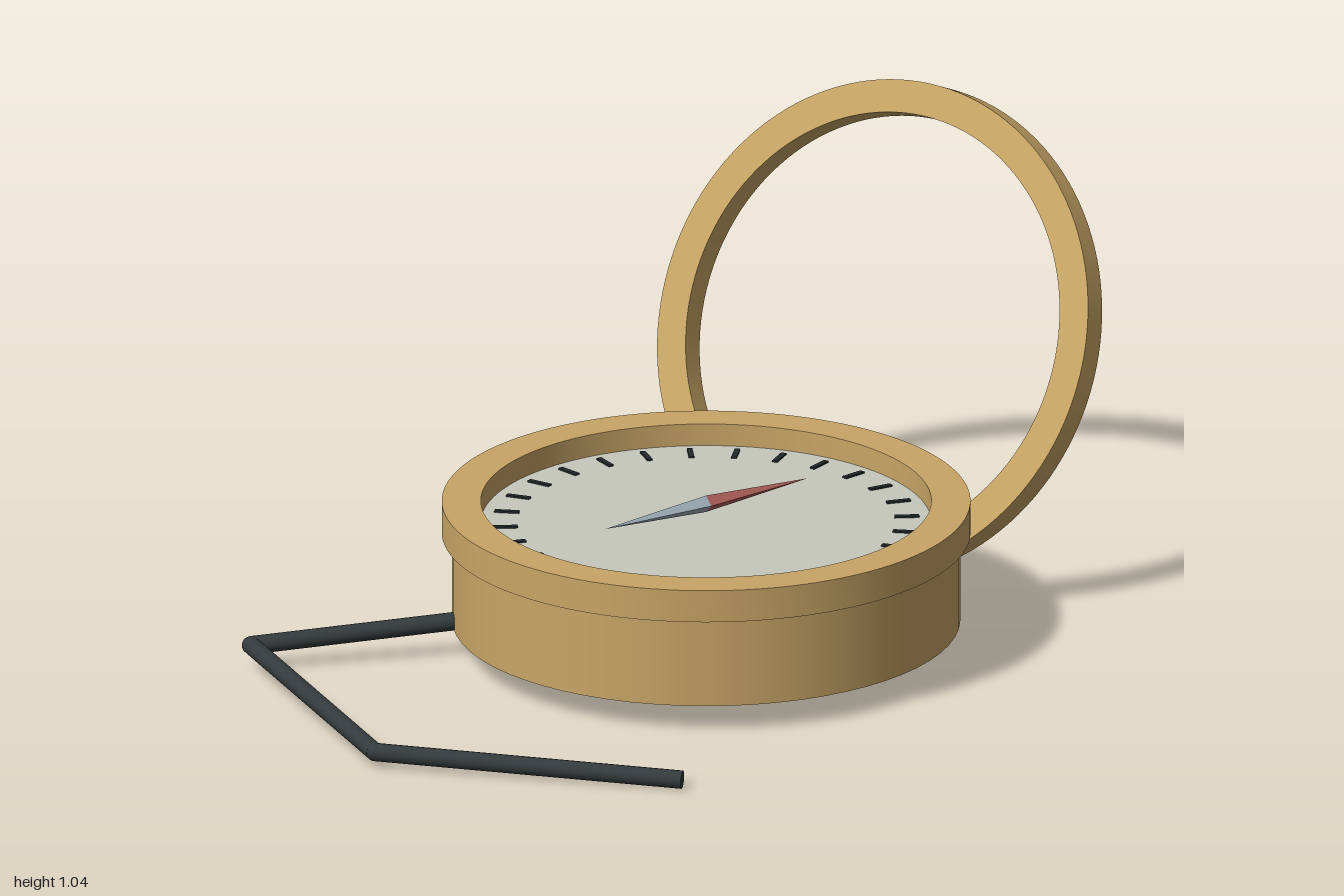
import * as THREE from 'three';
import { toCreasedNormals } from 'three/addons/utils/BufferGeometryUtils.js';

const mat = (color) => new THREE.MeshStandardMaterial({ color });
const brass = mat(0xc8a566);
const cordMat = mat(0x343b3c);
const dialMat = mat(0xc6c7bd);
const tickMat = mat(0x22282a);
const redMat = mat(0xb0605a);
const paleMat = mat(0x9fb0bb);

function add(parent, name, geometry, material, x = 0, y = 0, z = 0) {
  const mesh = new THREE.Mesh(geometry, material);
  mesh.name = name;
  mesh.position.set(x, y, z);
  parent.add(mesh);
  return mesh;
}

// Flat ring in the XY plane, centred on its own thickness
function ringGeometry(outer, inner, depth) {
  const shape = new THREE.Shape().absarc(0, 0, outer, 0, Math.PI * 2, false);
  shape.holes.push(new THREE.Path().absarc(0, 0, inner, 0, Math.PI * 2, true));
  const g = new THREE.ExtrudeGeometry(shape, { depth, bevelEnabled: false, curveSegments: 64 });
  g.translate(0, 0, -depth / 2);
  return toCreasedNormals(g, 0.6);
}

export function createModel() {
  const model = new THREE.Group();
  model.name = 'compass';

  const housing = new THREE.Group();
  housing.name = 'housing';
  housing.position.set(0.09, 0, -0.07);
  model.add(housing);

  // Case, bezel and recessed dial
  add(housing, 'case', new THREE.CylinderGeometry(0.553, 0.553, 0.194, 64), brass, 0, 0.157, 0);
  add(housing, 'bezel', ringGeometry(0.575, 0.49, 0.073), brass, 0, 0.2985, 0).rotation.x = -Math.PI / 2;
  add(housing, 'dial', new THREE.CylinderGeometry(0.492, 0.492, 0.02, 64), dialMat, 0, 0.275, 0);

  // Tick marks around the dial
  const ticks = new THREE.Group();
  ticks.name = 'ticks';
  housing.add(ticks);
  const tickGeo = new THREE.BoxGeometry(0.012, 0.006, 0.054).translate(0, 0, -0.438);
  const tickCount = 28;
  for (let i = 0; i < tickCount; i++) {
    add(ticks, 'tick', tickGeo, tickMat, 0, 0.286, 0).rotation.y = (i / tickCount) * Math.PI * 2;
  }

  // Needle: two slender four-sided points meeting at the middle
  const needle = new THREE.Group();
  needle.name = 'needle';
  needle.position.y = 0.328;
  needle.rotation.y = -0.34;
  housing.add(needle);
  const point = new THREE.ConeGeometry(0.019, 0.275, 4).translate(0, 0.1375, 0).toNonIndexed();
  point.computeVertexNormals();
  add(needle, 'northPoint', point, redMat).rotation.x = -Math.PI / 2;
  add(needle, 'southPoint', point, paleMat).rotation.x = Math.PI / 2;

  // Open lid ring leaning back, its lower edge set into the case
  const lid = add(model, 'lidRing', ringGeometry(0.545, 0.473, 0.06), brass, 0.09, 0.53, -0.742);
  lid.rotation.x = -0.43;

  // Bent cord leading out of the case
  const cord = new THREE.Group();
  cord.name = 'cord';
  model.add(cord);
  const r = 0.02;
  const path = [
    [-0.22, 0.085, 0.17], [-0.645, 0.055, 0.61], [-0.07, 0.035, 0.977], [0.56, 0.0205, 0.715],
  ].map((p) => new THREE.Vector3(...p));
  const up = new THREE.Vector3(0, 1, 0);
  for (let i = 0; i < path.length - 1; i++) {
    const dir = path[i + 1].clone().sub(path[i]);
    const segment = add(cord, 'cordSegment', new THREE.CylinderGeometry(r, r, dir.length(), 16), cordMat);
    segment.position.copy(path[i]).addScaledVector(dir, 0.5);
    segment.quaternion.setFromUnitVectors(up, dir.normalize());
    if (i > 0) add(cord, 'cordBend', new THREE.SphereGeometry(r, 16, 10), cordMat, ...path[i].toArray());
  }
  return model;
}
